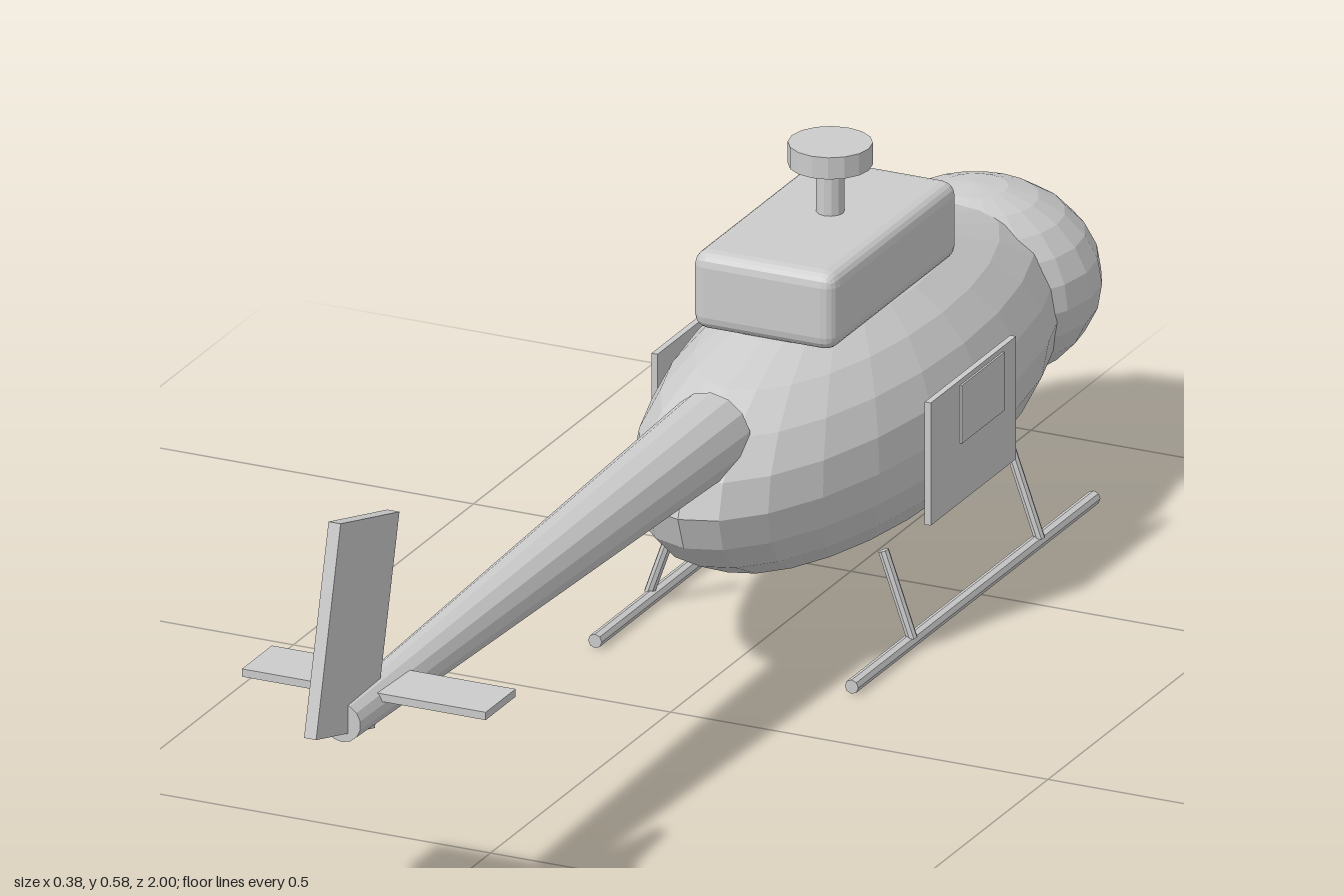
import * as THREE from 'three';
import { RoundedBoxGeometry } from 'three/addons/geometries/RoundedBoxGeometry.js';

export function createModel() {
  const model = new THREE.Group();
  model.name = 'helicopter';
  const grey = new THREE.MeshStandardMaterial({ color: 0xcccccc, flatShading: true });

  const add = (name, geometry, x, y, z) => {
    const mesh = new THREE.Mesh(geometry, grey);
    mesh.name = name;
    mesh.position.set(x, y, z);
    model.add(mesh);
    return mesh;
  };
  const box = (w, h, d) => new THREE.BoxGeometry(w, h, d);
  const tube = (top, bottom, length, sides) => new THREE.CylinderGeometry(top, bottom, length, sides);

  // Cylinder running between two points
  const rod = (name, a, b, radius, sides) => {
    const dir = b.clone().sub(a);
    const mid = a.clone().add(b).multiplyScalar(0.5);
    const mesh = add(name, tube(radius, radius, dir.length(), sides), mid.x, mid.y, mid.z);
    mesh.quaternion.setFromUnitVectors(new THREE.Vector3(0, 1, 0), dir.normalize());
  };

  // Fuselage and rounded nose, facing -z
  add('fuselage', new THREE.SphereGeometry(1, 24, 12), 0, 0.241, -0.49).scale.set(0.179, 0.167, 0.47);
  add('nose', new THREE.SphereGeometry(1, 20, 12), 0, 0.253, -0.845).scale.set(0.153, 0.123, 0.154);

  // Engine housing with rotor mast and hub
  add('engineHousing', new RoundedBoxGeometry(0.19, 0.1, 0.35, 2, 0.018), 0, 0.435, -0.428);
  add('rotorMast', tube(0.017, 0.017, 0.08, 12), 0, 0.515, -0.443);
  add('rotorHub', tube(0.051, 0.051, 0.028, 16), 0, 0.56, -0.443);

  // Tapered tail boom, stabilizer and swept fin
  add('tailBoom', tube(0.025, 0.053, 1.025, 14), 0, 0.318, 0.4).rotation.x = Math.PI / 2;
  add('stabilizer', box(0.323, 0.01, 0.083), 0, 0.332, 0.81);
  add('tailFin', box(0.016, 0.263, 0.169), 0, 0.434, 0.885).rotation.x = -Math.PI / 12;

  // Doors, windows and landing gear on both sides
  for (const [side, s] of [['left', 1], ['right', -1]]) {
    add(side + 'Door', box(0.008, 0.158, 0.237), s * 0.181, 0.23, -0.453);
    add(side + 'Window', box(0.007, 0.075, 0.118), s * 0.184, 0.265, -0.475);
    add(side + 'Skid', tube(0.009, 0.009, 0.672, 8), s * 0.17, 0.009, -0.482).rotation.x = Math.PI / 2;
    for (const z of [-0.306, -0.66]) {
      rod(side + 'Strut', new THREE.Vector3(s * 0.174, 0.014, z),
        new THREE.Vector3(s * 0.136, 0.121, z), 0.0068, 8);
    }
  }
  return model;
}
